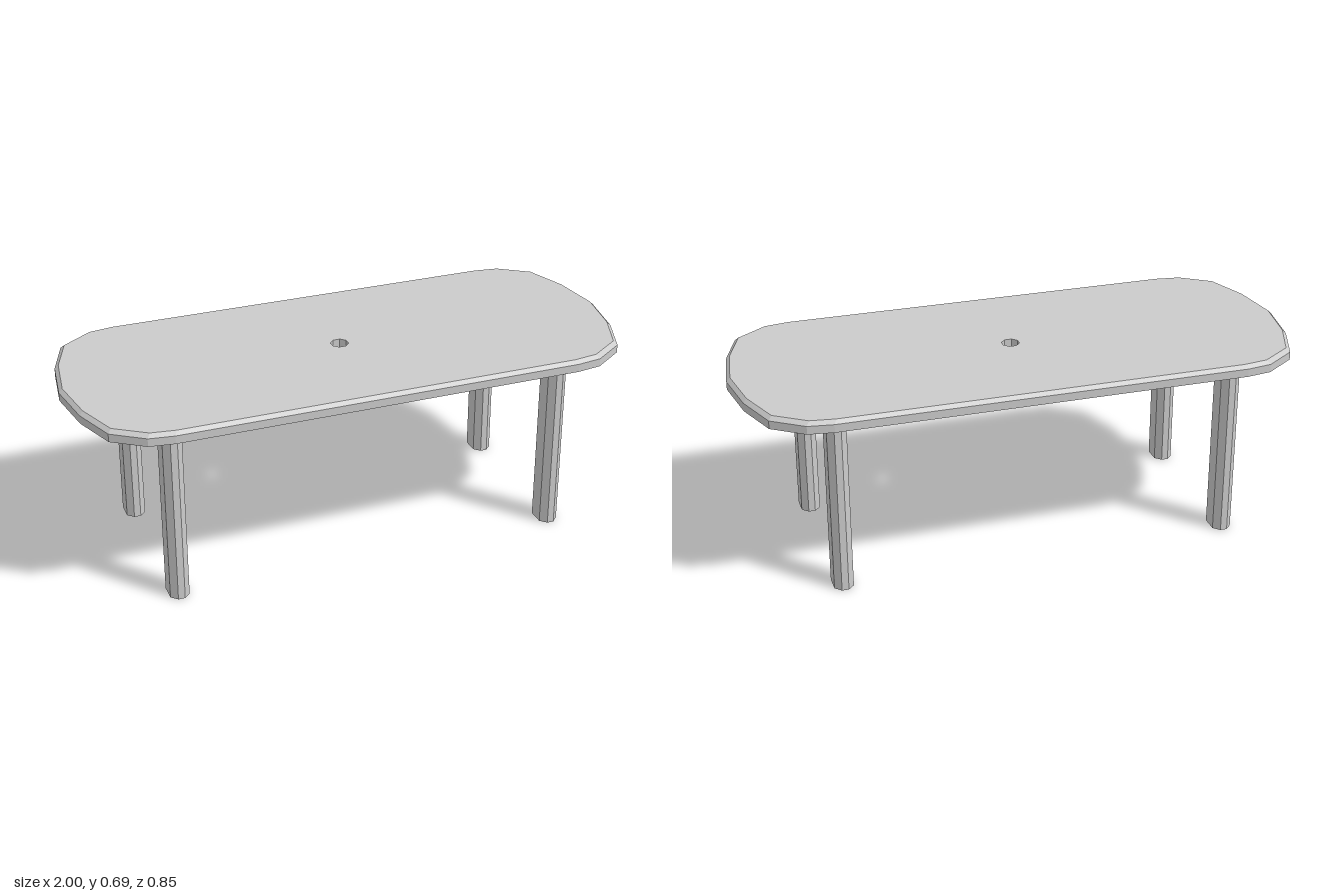
import * as THREE from 'three';

const material = new THREE.MeshStandardMaterial({ color: 0xcccccc, flatShading: true });

// Mirror one quadrant of an outline (from the +x side towards the +y side) into a closed loop.
function mirroredOutline(quadrant) {
  const right = [...quadrant.map(([x, y]) => [x, -y]).reverse(), ...quadrant.filter(([, y]) => y > 0)];
  const left = right.map(([x, y]) => [-x, y]).reverse();
  return [...right, ...left].map(([x, y]) => new THREE.Vector2(x, y));
}

// Extrude an outline upwards from y = 0.
function extrudeUp(shape, depth, steps = 1) {
  const geometry = new THREE.ExtrudeGeometry(shape, { depth, steps, bevelEnabled: false });
  return geometry.rotateX(-Math.PI / 2);
}

// Faceted oval slab with a centre hole and a bevelled upper rim.
function createTabletop() {
  const bottom = 0.648, rim = 0.677, top = 0.69, inset = 0.013;
  const outline = mirroredOutline([[1, 0], [0.973, 0.183], [0.917, 0.337], [0.808, 0.413], [0.72, 0.426]]);
  const shape = new THREE.Shape(outline);
  const hole = [];
  for (let i = 0; i < 8; i++) {
    const a = -(i + 0.5) * Math.PI / 4;
    hole.push(new THREE.Vector2(Math.cos(a) * 0.032, Math.sin(a) * 0.032));
  }
  shape.holes.push(new THREE.Path(hole));

  const geometry = extrudeUp(shape, 2, 2);
  const levels = [bottom, rim, top];
  const p = geometry.attributes.position;
  for (let i = 0; i < p.count; i++) {
    const level = Math.round(p.getY(i));
    p.setY(i, levels[level]);
    // Pull in only the outer rim of the upper face
    if (level === 2 && Math.hypot(p.getX(i), p.getZ(i)) > 0.1) {
      p.setX(i, p.getX(i) * (1 - inset));
      p.setZ(i, p.getZ(i) * (1 - inset / 0.426));
    }
  }
  geometry.computeVertexNormals();
  const mesh = new THREE.Mesh(geometry, material);
  mesh.name = 'tabletop';
  return mesh;
}

// Four straight legs with an elongated eight-sided section.
function createLegs() {
  const legs = new THREE.Group();
  legs.name = 'legs';
  const section = new THREE.Shape(mirroredOutline([[0.034, 0.03], [0.012, 0.052]]));
  const geometry = extrudeUp(section, 0.649);
  for (const [side, x] of [['left', 0.694], ['right', -0.705]]) {
    for (const [end, z] of [['front', 0.291], ['back', -0.285]]) {
      const leg = new THREE.Mesh(geometry, material);
      leg.name = `${end} ${side} leg`;
      leg.position.set(x, 0, z);
      legs.add(leg);
    }
  }
  return legs;
}

export function createModel() {
  const table = new THREE.Group();
  table.name = 'table';
  table.add(createTabletop(), createLegs());
  return table;
}
